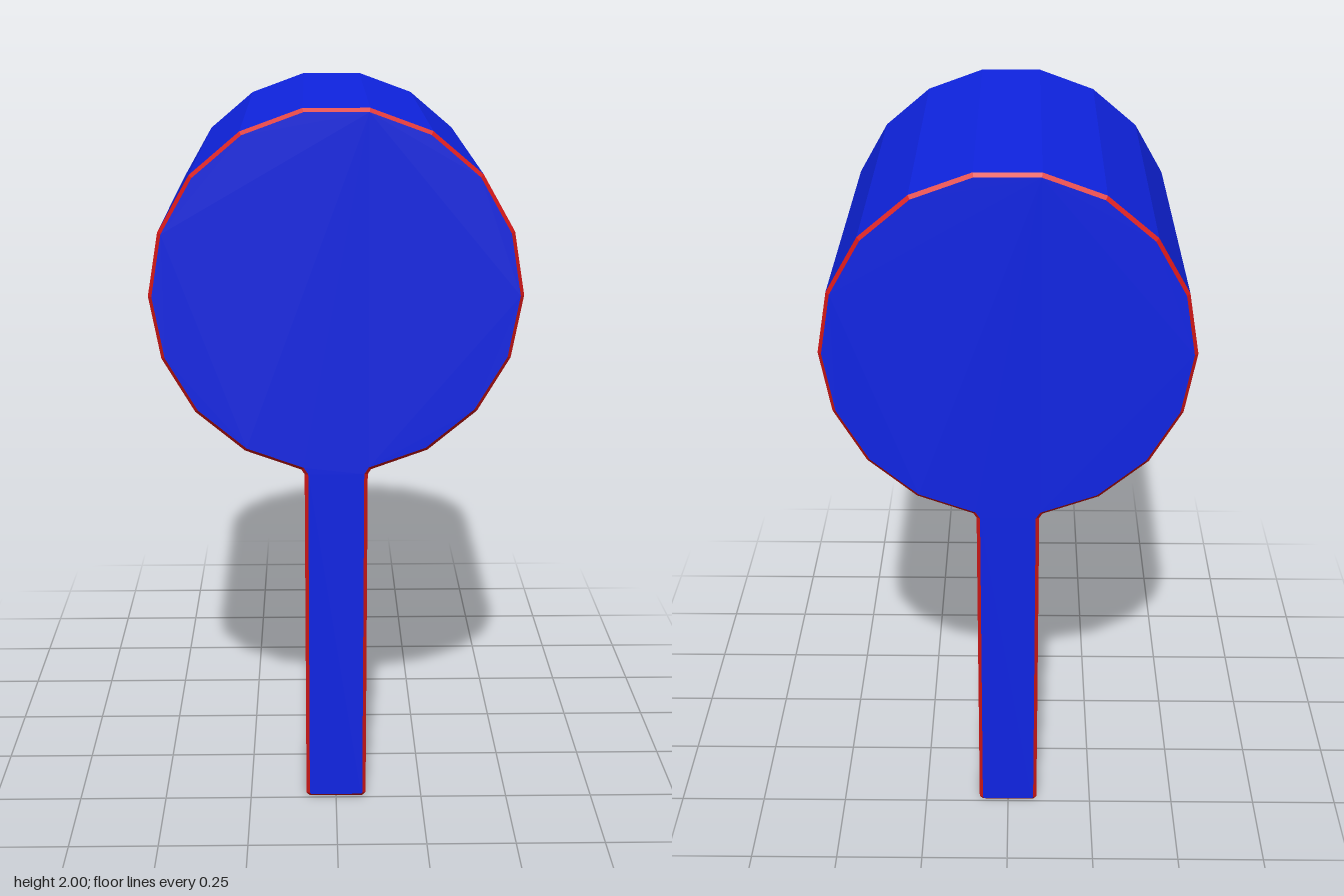
import * as THREE from 'three';

const R = 0.5, CY = 1.508, W = 0.087, B = 0.01, HALF = 0.5;

// Right half of the keyhole outline from the foot upwards; mirrored for the left half
function outline() {
  const half = [[W - B, 0], [W, B], [W, 1.005], [0.096, 1.019]];
  for (let a = -60; a <= 80; a += 20) {
    const t = THREE.MathUtils.degToRad(a);
    half.push([R * Math.cos(t), CY + R * Math.sin(t)]);
  }
  const left = half.map(([x, y]) => [-x, y]).reverse();
  return [...half, ...left].map(([x, y]) => new THREE.Vector2(x, y));
}

// Moves every edge of a counter-clockwise loop inwards by d, with mitred corners
function inset(loop, d) {
  const n = loop.length;
  const normal = (a, b) => new THREE.Vector2(a.y - b.y, b.x - a.x).normalize();
  return loop.map((p, i) => {
    const n1 = normal(loop[(i + n - 1) % n], p);
    const n2 = normal(p, loop[(i + 1) % n]);
    return p.clone().addScaledVector(n1.clone().add(n2), d / (1 + n1.dot(n2)));
  });
}

// Quads between two loops (back to front), for the chosen edges only
function strip(back, zb, front, zf, keep = () => true) {
  const pos = [];
  back.forEach((a, i) => {
    if (!keep(i)) return;
    const j = (i + 1) % back.length;
    const b = back[j], c = front[j], d = front[i];
    pos.push(a.x, a.y, zb, b.x, b.y, zb, c.x, c.y, zf);
    pos.push(a.x, a.y, zb, c.x, c.y, zf, d.x, d.y, zf);
  });
  const g = new THREE.BufferGeometry();
  g.setAttribute('position', new THREE.Float32BufferAttribute(pos, 3));
  g.computeVertexNormals();
  return g;
}

export function createModel() {
  const group = new THREE.Group();
  const blue = new THREE.MeshStandardMaterial({ color: 0x0f24e4, flatShading: true });
  const red = new THREE.MeshStandardMaterial({ color: 0xd81818, flatShading: true });
  const add = (name, geometry, material) => {
    const mesh = new THREE.Mesh(geometry, material);
    mesh.name = name;
    group.add(mesh);
    return mesh;
  };

  const outer = outline();
  const inner = inset(outer, B);
  const n = outer.length;
  const zo = HALF - B;

  // Lengthwise bevels: two at the foot, two where the stem meets the drum
  const bevels = new Set([0, 2, n - 4, n - 2]);
  add('drumAndStemSides', strip(outer, -zo, outer, zo, i => !bevels.has(i)), blue);
  add('lengthwiseBevels', strip(outer, -zo, outer, zo, i => bevels.has(i)), red);

  // Bevelled rims around both ends
  add('frontRimBevel', strip(outer, zo, inner, HALF), red);
  add('backRimBevel', strip(inner, -HALF, outer, -zo), red);

  // Flat end faces; the outline is symmetric, so the back is the front turned round
  const face = new THREE.ShapeGeometry(new THREE.Shape(inner));
  add('frontFace', face, blue).position.z = HALF;
  const back = add('backFace', face, blue);
  back.position.z = -HALF;
  back.rotation.y = Math.PI;

  return group;
}
